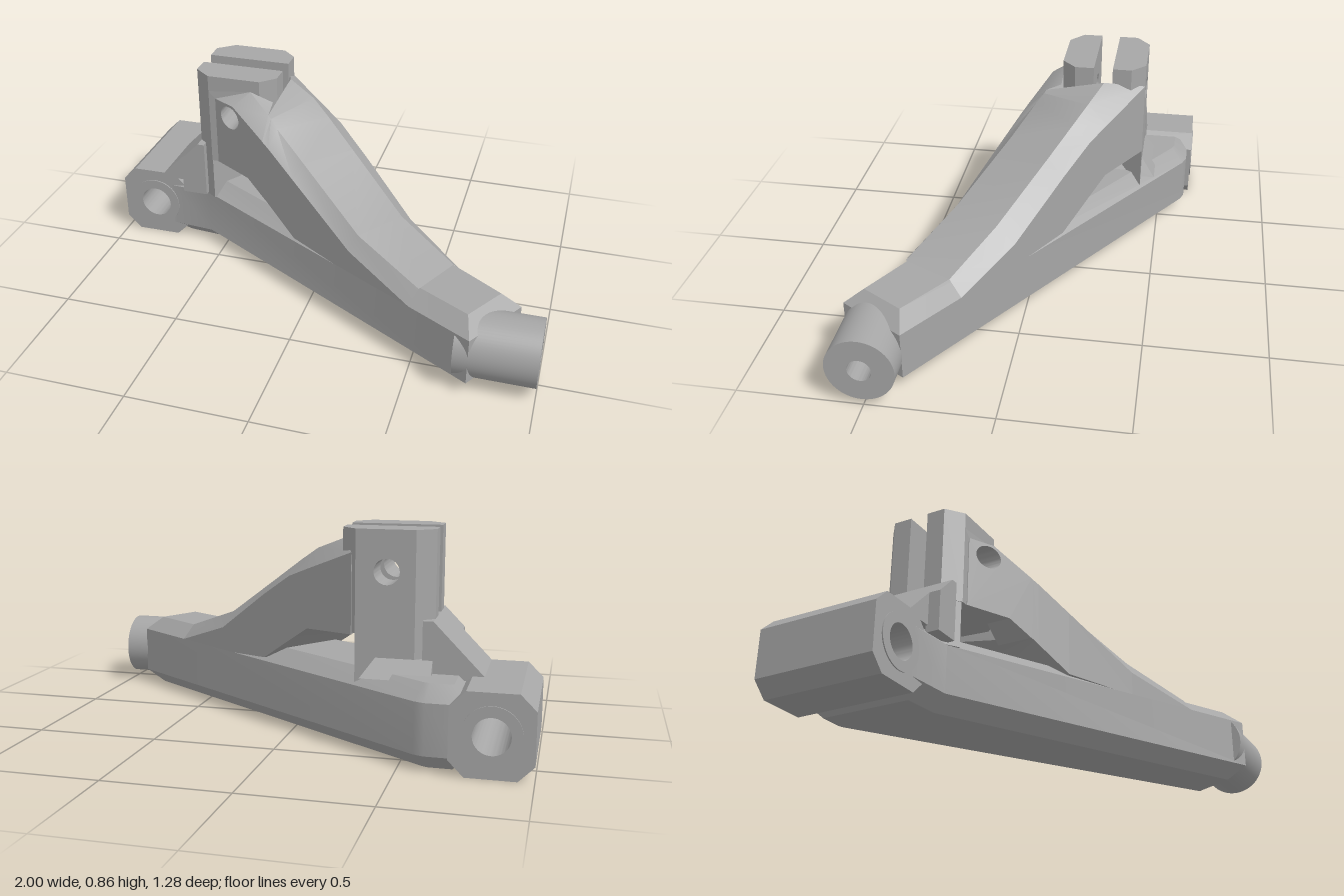
import * as THREE from 'three';
import { toCreasedNormals } from 'three/addons/utils/BufferGeometryUtils.js';
import { ConvexGeometry } from 'three/addons/geometries/ConvexGeometry.js';

const metal = new THREE.MeshStandardMaterial({ color: 0xa6a6a6 });
metal.name = 'grey metal';

// Plan lines (z from x) of the arm's front and back walls
const front = x => 0.22 + 0.565 * x;
const back = x => -0.23 + 0.67 * x;

const polygon = pts => new THREE.Shape(pts.map(p => new THREE.Vector2(...p)));
const circle = (x, y, r) => new THREE.Path().absarc(x, y, r, 0, Math.PI * 2, true);

// Outline in x, y pushed from z0 to z1, with optional round holes [x, y, r]
function slab(pts, z0, z1, holes = []) {
  const shape = polygon(pts);
  holes.forEach(h => shape.holes.push(circle(...h)));
  return new THREE.ExtrudeGeometry(shape, { depth: z1 - z0, bevelEnabled: false, curveSegments: 24 }).translate(0, 0, z0);
}

// Outline in x, z raised from y0 to y1, with an optional chamfer
function prism(pts, y0, y1, c = 0) {
  const g = new THREE.ExtrudeGeometry(polygon(pts.map(([x, z]) => [x, -z])), {
    depth: y1 - y0 - 2 * c, bevelEnabled: c > 0, bevelSize: c, bevelThickness: c, bevelOffset: -c, bevelSegments: 1,
  });
  return g.rotateX(-Math.PI / 2).translate(0, y0 + c, 0);
}

// Round ring along z
function ring(outer, inner, length) {
  const shape = new THREE.Shape().absarc(0, 0, outer, 0, Math.PI * 2);
  shape.holes.push(circle(0, 0, inner));
  return new THREE.ExtrudeGeometry(shape, { depth: length, bevelEnabled: false, curveSegments: 32 });
}

function fromTriangles(points) {
  const g = new THREE.BufferGeometry();
  g.setAttribute('position', new THREE.Float32BufferAttribute(points.flat(), 3));
  return g;
}

// Skin through equal-length sections, closed at the far end
function loft(rows) {
  const tris = [], n = rows[0].length;
  for (let r = 0; r + 1 < rows.length; r++) {
    for (let i = 0; i < n; i++) {
      const a = rows[r], b = rows[r + 1], j = (i + 1) % n;
      tris.push(a[i], a[j], b[j], a[i], b[j], b[i]);
    }
  }
  const end = rows[rows.length - 1];
  for (let i = 1; i + 1 < n; i++) tris.push(end[0], end[i], end[i + 1]);
  return fromTriangles(tris);
}

export function createModel() {
  const model = new THREE.Group();
  model.name = 'suspensionArm';
  const add = (name, geometry) => {
    geometry.deleteAttribute('uv');
    const mesh = new THREE.Mesh(toCreasedNormals(geometry, 0.5), metal);
    mesh.name = name;
    model.add(mesh);
  };

  // Long chamfered beam
  add('beam', prism([
    [-0.76, -0.62], [-0.6, -0.62], [-0.56, back(-0.56)], [0.9, back(0.9)],
    [0.74, front(0.74)], [-0.57, front(-0.57)], [-0.76, -0.12],
  ], 0, 0.32, 0.06));

  // Pivot barrel and its bushing
  add('pivotBarrel', slab([
    [-0.94, 0], [-0.75, 0], [-0.69, 0.06], [-0.69, 0.26], [-0.75, 0.32], [-0.94, 0.32], [-1, 0.26], [-1, 0.06],
  ], -0.64, -0.12, [[-0.845, 0.16, 0.11]]));
  add('pivotBushing', ring(0.112, 0.07, 0.53).translate(-0.845, 0.16, -0.645));

  // Round end pin with a bore
  add('endPin', ring(0.135, 0.047, 0.32).rotateY(Math.PI / 2).translate(0.68, 0.16, 0.505));

  // Raised strut: each row gives front x, back x, front and back underside and
  // shoulder heights, then the two top points
  const section = ([xf, xb, uf, ub, sf, sb, topF, topB]) => [
    [xf, uf, front(xf)], [xf, sf, front(xf)], topF, topB, [xb, sb, back(xb)], [xb, ub, back(xb)],
  ];
  add('strut', loft([
    [0.48, 0.64, 0.255, 0.255, 0.26, 0.26, [0.51, 0.32, 0.45], [0.61, 0.32, 0.25]],
    [0.2, 0.39, 0.255, 0.255, 0.36, 0.36, [0.23, 0.42, 0.3], [0.365, 0.42, 0.11]],
    [-0.08, 0.15, 0.275, 0.275, 0.555, 0.545, [-0.05, 0.607, 0.12], [0.11, 0.605, -0.06]],
    [-0.21, 0.015, 0.37, 0.375, 0.645, 0.64, [-0.19, 0.705, 0.035], [-0.02, 0.7, -0.145]],
    [-0.235, -0.075, 0.388, 0.44, 0.66, 0.68, [-0.225, 0.735, 0.008], [-0.1, 0.755, -0.195]],
    [-0.24, -0.285, 0.39, 0.455, 0.664, 0.77, [-0.24, 0.745, 0], [-0.22, 0.805, -0.25]],
  ].map(section)));

  // Slanted web that carries the strut's front wall up to the bracket
  const bolt = [-0.42, 0.7, 0.05];
  const web = slab([
    [-0.5, 0.455], [-0.33, 0.45], [-0.24, 0.39], [-0.24, 0.664], [-0.4, 0.76], [-0.5, 0.76],
  ], -0.07, 0, [bolt]);
  const p = web.attributes.position;
  for (let i = 0; i < p.count; i++) if (p.getZ(i) > -0.01) p.setZ(i, front(p.getX(i)));
  add('frontWeb', web);

  // Sloping cap above the web
  const a0 = [-0.5, 0.76, front(-0.5)], a1 = [-0.4, 0.76, front(-0.4)], a2 = [-0.24, 0.664, front(-0.24)];
  const t0 = [-0.53, 0.79, -0.065], t1 = [-0.34, 0.81, -0.065], t2 = [-0.24, 0.745, 0];
  add('webCap', fromTriangles([
    a0, a1, t1, a0, t1, t0, a1, a2, t2, a1, t2, t1, t1, t2, [-0.24, 0.775, -0.065],
  ]));

  // Two drilled bracket plates with chamfered corners, mirrored across the slot
  const mid = -0.2425;
  for (const [side, label] of [[1, 'front'], [-1, 'back']]) {
    const inner = mid + side * 0.04, outer = mid + side * 0.1775, edge = mid + side * 0.12;
    add(label + 'BracketPlate', slab(
      [[-0.53, 0.455], [-0.3, 0.455], [-0.3, 0.86], [-0.53, 0.86]],
      Math.min(inner, outer), Math.max(inner, outer), [bolt]));
    add(label + 'BracketEdgeRight', prism([[-0.6, inner], [-0.6, edge], [-0.53, outer], [-0.53, inner]], 0.455, 0.86));
    add(label + 'BracketEdgeLeft', prism(
      [[-0.3, inner], [-0.3, outer], [-0.24, edge], [-0.24, inner]], side > 0 ? 0.455 : 0.46, 0.86));
  }
  add('slotFloor', prism([[-0.6, -0.29], [-0.6, -0.2], [-0.24, -0.2], [-0.24, -0.29]], 0.455, 0.5));

  // Leg below the bracket and its spreading foot
  add('bracketLeg', prism([
    [-0.6, -0.36], [-0.6, -0.12], [-0.53, -0.07], [-0.3, -0.42], [-0.53, -0.42],
  ], 0.26, 0.457));
  const foot = [];
  for (const [y, x, zb, zf] of [[0.37, -0.38, -0.42, -0.25], [0.3, -0.33, -0.48, -0.17]]) {
    for (const px of [-0.6, x]) for (const pz of [zb, zf]) foot.push(new THREE.Vector3(px, y, pz));
  }
  add('legFoot', new ConvexGeometry(foot));

  // Gusset between barrel and bracket, with a short step in front
  add('gusset', slab([[-0.8, 0.3], [-0.56, 0.3], [-0.56, 0.52], [-0.6, 0.52], [-0.8, 0.315]], -0.42, -0.12));
  add('gussetStep', slab([[-0.68, 0.27], [-0.57, 0.27], [-0.57, 0.52], [-0.6, 0.52], [-0.68, 0.438]], -0.13, -0.07));

  return model;
}
